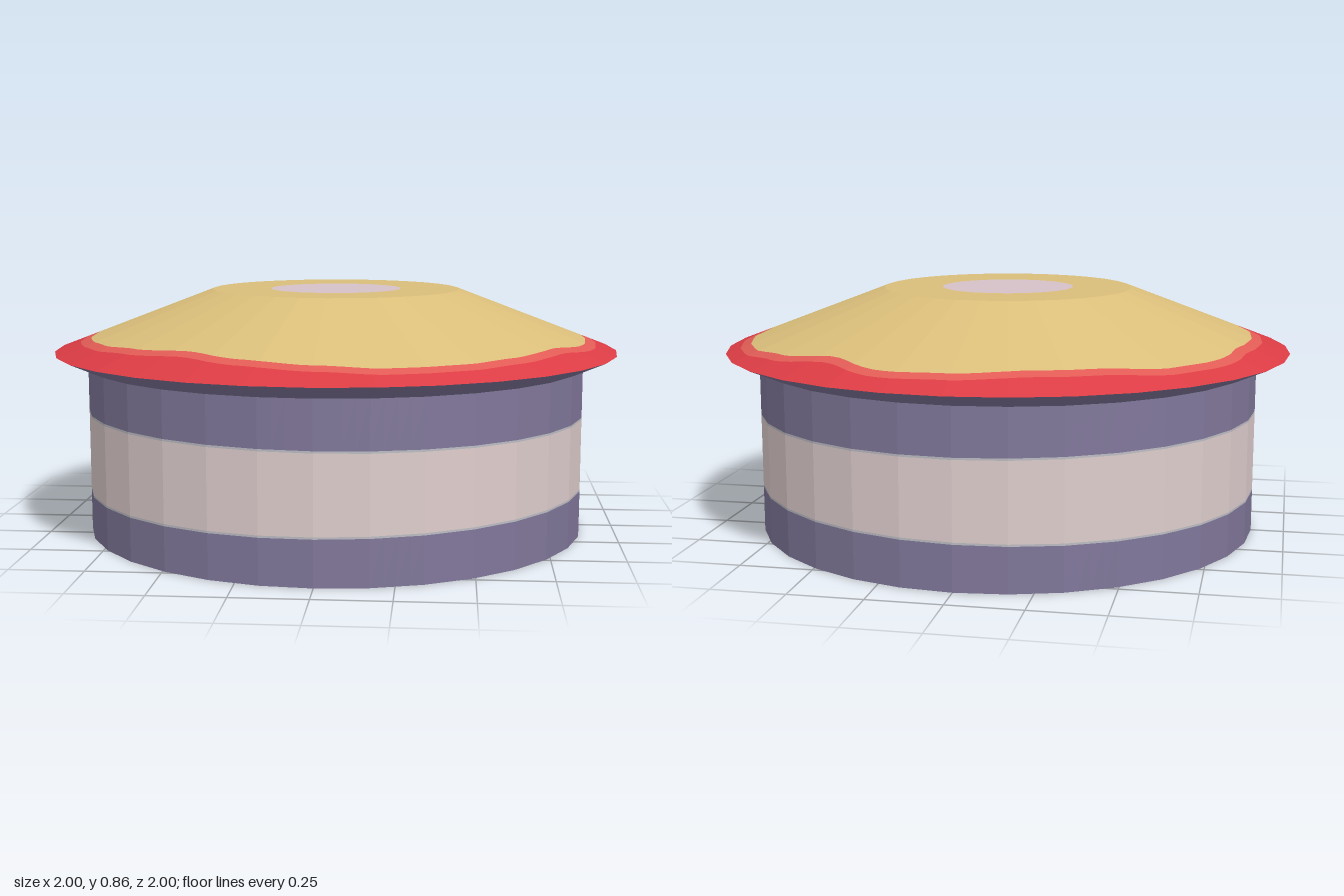
import * as THREE from 'three';

const SIDES = 32, STEPS = 128, TAU = Math.PI * 2;

// Radius of the painted dome area every 15 degrees, from +x towards +z
const DOME_PAINT = [0.89, 0.89, 0.86, 0.877, 0.89, 0.893, 0.872, 0.85, 0.822, 0.845, 0.865, 0.873,
  0.867, 0.862, 0.89, 0.89, 0.86, 0.857, 0.877, 0.885, 0.84, 0.885, 0.912, 0.912];

function mat(name, color) {
  const m = new THREE.MeshStandardMaterial({ color, flatShading: true });
  m.name = name;
  return m;
}

// Smoothly interpolated paint edge
function paintRadius(a) {
  const n = DOME_PAINT.length;
  const f = (a / TAU) * n, i = Math.floor(f), t = f - i;
  const s = t * t * (3 - 2 * t);
  return DOME_PAINT[i % n] * (1 - s) + DOME_PAINT[(i + 1) % n] * s;
}

// Keeps points on the flat facets of the 32-sided body
function ringPoint(a, [r, y]) {
  const step = TAU / SIDES;
  const f = Math.cos(step / 2) / Math.cos((a % step) - step / 2);
  return [Math.cos(a) * r * f, y, Math.sin(a) * r * f];
}

// Faceted strip between two rings, each a function angle -> [radius, y]
function strip(name, material, from, to) {
  const pos = [];
  for (let i = 0; i < STEPS; i++) {
    const a = (i / STEPS) * TAU, b = ((i + 1) % STEPS) / STEPS * TAU;
    const a0 = ringPoint(a, from(a)), a1 = ringPoint(b, from(b));
    const b0 = ringPoint(a, to(a)), b1 = ringPoint(b, to(b));
    if (from(a)[0] > 0) pos.push(...a0, ...b0, ...a1);
    if (to(a)[0] > 0) pos.push(...a1, ...b0, ...b1);
  }
  const g = new THREE.BufferGeometry();
  g.setAttribute('position', new THREE.Float32BufferAttribute(pos, 3));
  g.computeVertexNormals();
  const mesh = new THREE.Mesh(g, material);
  mesh.name = name;
  return mesh;
}

export function createModel() {
  const group = new THREE.Group();
  group.name = 'roundButton';

  const purple = mat('dusty purple', 0x80779a);
  const pale = mat('pale pink', 0xdfcdcd);
  const grey = mat('edge grey', 0xbcbcc4);
  const red = mat('red', 0xdc3c44);
  const lightRed = mat('light red', 0xe25c56);
  const sand = mat('sand', 0xdabe7a);
  const lilac = mat('pale lilac', 0xd6c2c8);
  const under = mat('base grey', 0xa2a2a2);

  const R = 0.885, TOP = 0.855, RIM = 0.64, TOP_R = 0.44;
  const at = (r, y) => () => [r, y];
  // Slightly uneven band edges on the wall
  const low = (d) => (a) => [R, 0.158 + 0.008 * Math.cos(a) + d];
  const high = (d) => (a) => [R, 0.425 - 0.006 * Math.cos(a) + d];
  // Paint edges on the sloping dome
  const dome = (d) => (a) => {
    const r = paintRadius(a) + d;
    return [r, RIM + (1 - r) / (1 - TOP_R) * (TOP - RIM)];
  };
  const spot = (a) => [0.228 + 0.005 * Math.cos(2 * a + 0.5), TOP];

  group.add(
    // Base and wall
    strip('underside', under, at(0, 0), at(R, 0)),
    strip('lowerWall', purple, at(R, 0), low(-0.004)),
    strip('bandLowerEdge', grey, low(-0.004), low(0.003)),
    strip('band', pale, low(0.003), high(-0.003)),
    strip('bandUpperEdge', grey, high(-0.003), high(0.004)),
    strip('upperWall', purple, high(0.004), at(R, 0.59)),
    // Overhanging rim
    strip('rimUnderside', purple, at(R, 0.59), at(1, RIM)),
    strip('rim', red, at(1, RIM), dome(0.037)),
    strip('rimInnerEdge', lightRed, dome(0.037), dome(0)),
    // Sloping lid and flat top
    strip('lidSlope', sand, dome(0), at(TOP_R, TOP)),
    strip('lidTop', sand, at(TOP_R, TOP), spot),
    strip('centreSpot', lilac, spot, at(0, TOP)),
  );
  return group;
}
